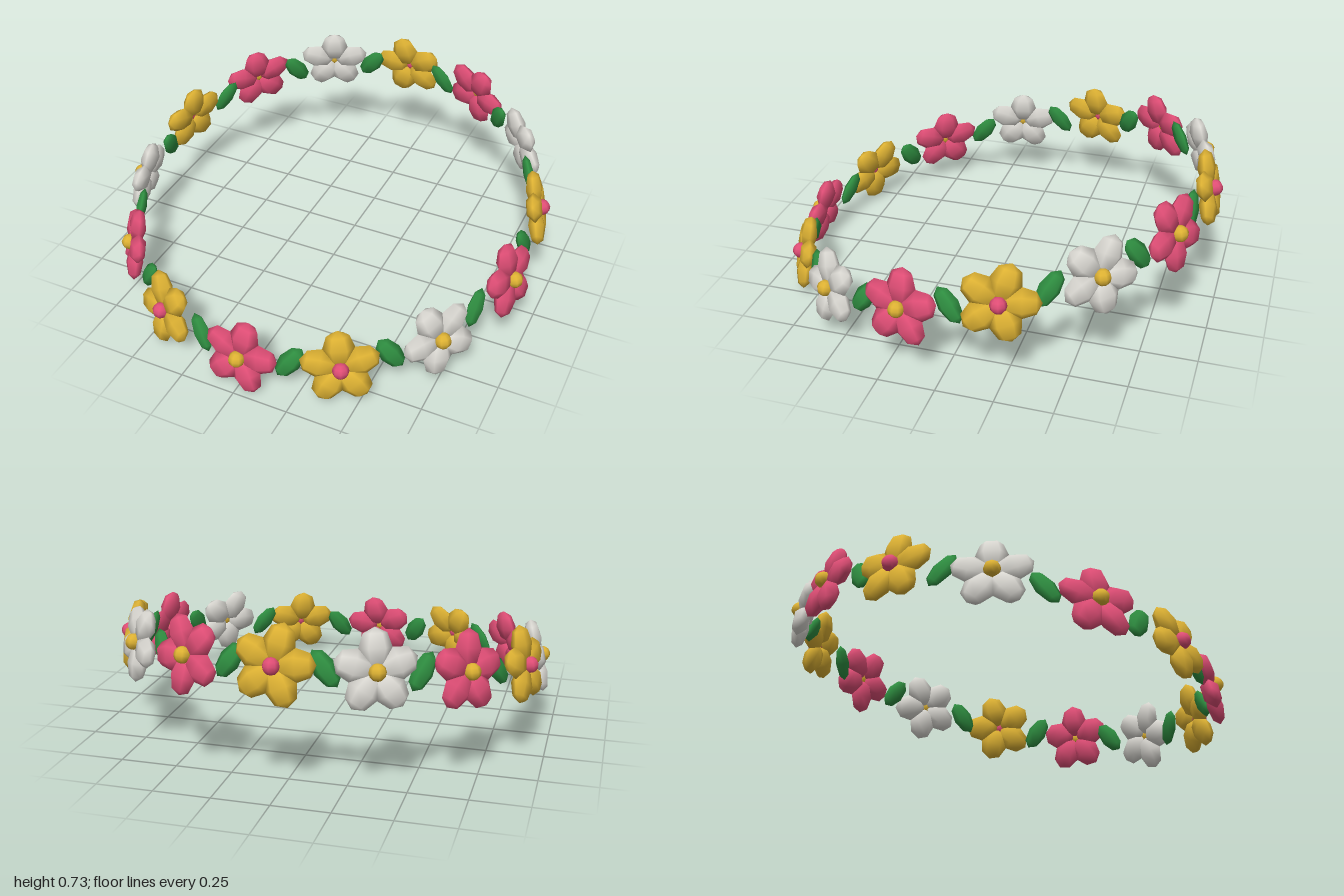
import * as THREE from 'three';

const mat = (name, color) => {
  const m = new THREE.MeshStandardMaterial({ color });
  m.name = name;
  return m;
};

export function createModel() {
  const garland = new THREE.Group();
  garland.name = 'flowerGarland';

  const pink = mat('pink', 0xe04e76);
  const yellow = mat('yellow', 0xdeb233);
  const white = mat('white', 0xdad8d2);
  const green = mat('green', 0x2f8f41);
  const petalColors = [pink, yellow, white];

  // Stretched low-poly spheres: petals point along +y from the flower centre
  const petalGeo = new THREE.SphereGeometry(1, 6, 4).scale(0.068, 0.082, 0.04).translate(0, 0.092, 0);
  const leafGeo = new THREE.SphereGeometry(1, 6, 4).scale(0.048, 0.088, 0.026);
  const heartGeo = new THREE.SphereGeometry(0.036, 8, 6);

  const count = 14;
  // Turn of each flower about its own axis, in degrees
  const rolls = [8, 22, 43, 18, 0, 62, 47, 5, 18, 8, 15, 20, 18, 50];

  // Places a group on the sloping ring, facing outward and slightly up
  const place = (group, step, radius) => {
    const t = (step / count) * Math.PI * 2;
    const a = t + 0.04 * Math.sin(t);
    const z = radius * Math.cos(a);
    group.position.set(radius * Math.sin(a), 0.374 - 0.22 * z, z);
    group.rotation.set(-0.21, a, 0, 'YXZ');
    garland.add(group);
  };

  for (let i = 0; i < count; i++) {
    // Flower: five petals around a round heart
    const flower = new THREE.Group();
    flower.name = 'flower';
    const color = petalColors[i % 3];
    for (let k = 0; k < 5; k++) {
      const petal = new THREE.Mesh(petalGeo, color);
      petal.name = 'petal';
      petal.rotation.z = THREE.MathUtils.degToRad(rolls[i] - 90 + k * 72);
      flower.add(petal);
    }
    const heart = new THREE.Mesh(heartGeo, color === yellow ? pink : yellow);
    heart.name = 'flowerHeart';
    heart.position.z = 0.028;
    flower.add(heart);
    place(flower, i, 0.927);

    // Leaf between neighbours, slanting alternately
    const holder = new THREE.Group();
    holder.name = 'leafHolder';
    const leaf = new THREE.Mesh(leafGeo, green);
    leaf.name = 'leaf';
    leaf.rotation.z = (i % 2 ? 1 : -1) * 0.61;
    holder.add(leaf);
    place(holder, i + 0.5, 0.905);
  }
  return garland;
}
